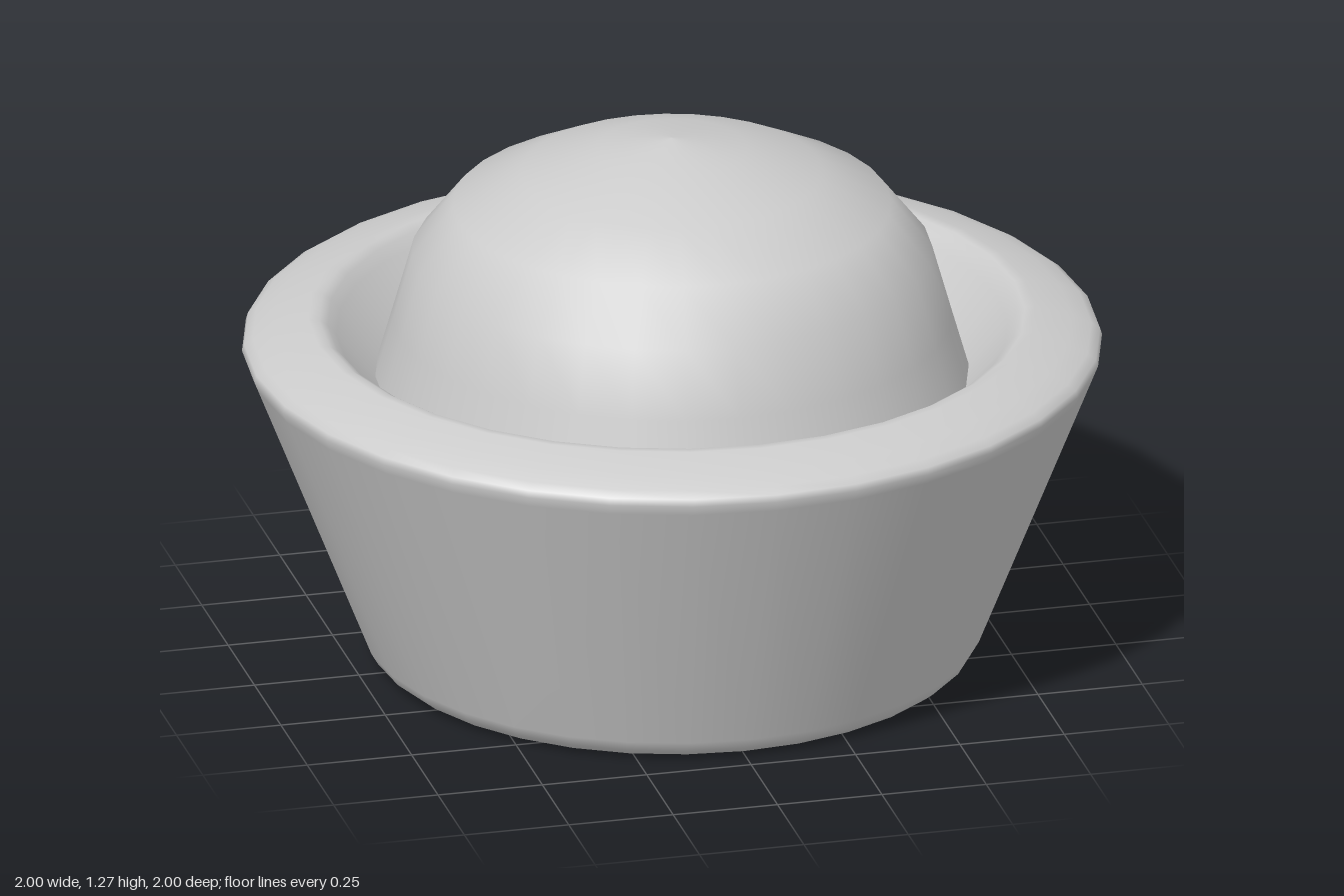
import * as THREE from 'three';

const SEGMENTS = 32;

// Smooth turned part from [radius, height] pairs, listed from the bottom outwards
function turned(name, profile) {
  const points = profile.map(([r, y]) => new THREE.Vector2(r, y));
  const mesh = new THREE.Mesh(
    new THREE.LatheGeometry(points, SEGMENTS, Math.PI / 2),
    new THREE.MeshStandardMaterial({ color: 0xcccccc, side: THREE.DoubleSide })
  );
  mesh.name = name;
  return mesh;
}

export function createModel() {
  const model = new THREE.Group();
  model.name = 'domedCup';

  // Tapered cup: flat base, rounded foot, flared wall, rolled rim, sloping inner wall
  model.add(turned('cup', [
    [0, 0], [0.64, 0], [0.66, 0.001], [0.685, 0.008], [0.705, 0.024], [0.72, 0.05],
    [0.99, 0.735], [1, 0.76], [0.995, 0.776], [0.975, 0.79], [0.93, 0.809],
    [0.845, 0.834], [0.82, 0.832], [0.8, 0.82], [0.78, 0.795], [0.69, 0.69],
  ]));

  // Dome rising from the bottom of the inner wall
  model.add(turned('dome', [
    [0.69, 0.69], [0.65, 0.83], [0.605, 0.99], [0.51, 1.11],
    [0.35, 1.19], [0.175, 1.25], [0, 1.275],
  ]));

  return model;
}
